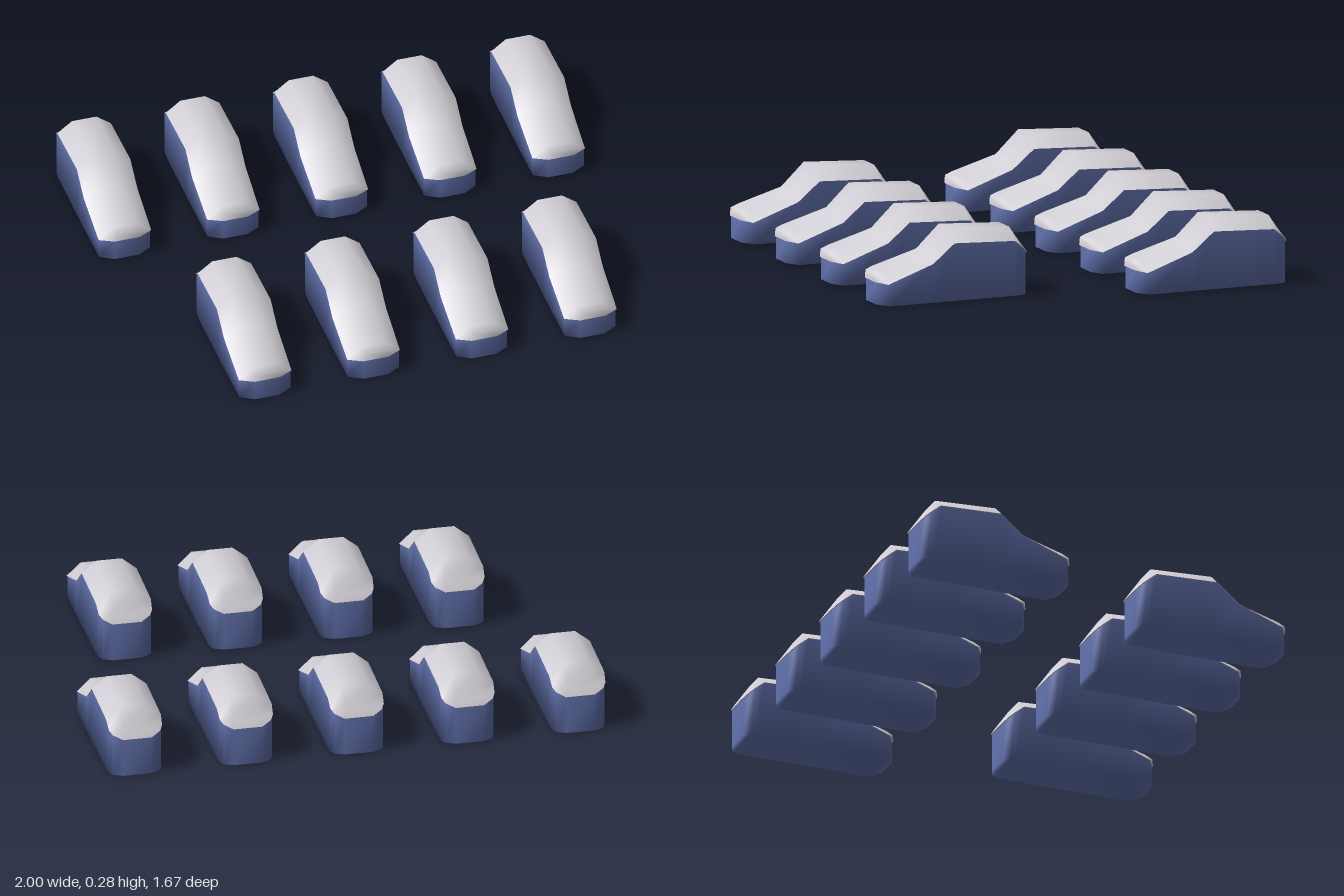
import * as THREE from 'three';

// Car cross-sections from nose to tail: [z, half width, shoulder height, top height, top half width]
const STATIONS = [
  [0.322, 0.052, 0.09, 0.124, 0.045],
  [0.29, 0.108, 0.087, 0.135, 0.05],
  [0.1, 0.11, 0.155, 0.19, 0.05],
  [0.008, 0.11, 0.231, 0.28, 0.05],
  [-0.25, 0.11, 0.22, 0.266, 0.05],
  [-0.287, 0.107, 0.19, 0.212, 0.05],
  [-0.305, 0.095, 0.175, 0.186, 0.05],
  [-0.322, 0.058, 0.158, 0.161, 0.045],
];
const N = STATIONS.length;

// Plan outline at shoulder height: down the left side, back up the right side
function outline(sx, sz) {
  const left = STATIONS.map(([z, w, y]) => [w * sx, y, z * sz]);
  const right = left.map(([x, y, z]) => [-x, y, z]).reverse();
  return [...left, ...right];
}

function toGeometry(points, index) {
  const g = new THREE.BufferGeometry();
  g.setAttribute('position', new THREE.Float32BufferAttribute(points.flat(), 3));
  g.setIndex(index);
  g.computeVertexNormals();
  return g;
}

// Lower body: walls rising to the shoulder line, closed by a flat floor
function bodyGeometry() {
  const top = outline(0.97, 0.985);
  const floor = top.map(([x, , z]) => [x, 0, z]);
  const count = top.length;
  const index = [];
  for (let k = 0; k < count; k++) {
    const n = (k + 1) % count;
    index.push(k, n, count + n, k, count + n, count + k);
  }
  for (let i = 0; i < N - 1; i++) {
    const a = count - 1 - i;
    index.push(i, a, a - 1, i, a - 1, i + 1);
  }
  return toGeometry([...floor, ...top], index);
}

// Upper shell: hood, windscreen, roof and tail slope, with a small overhanging lip
function shellGeometry() {
  const points = [];
  const index = [0, 1, 2, 0, 2, 3];
  for (const [z, w, edge, top, m] of STATIONS) {
    points.push([w, edge, z], [m, top, z], [-m, top, z], [-w, edge, z]);
  }
  for (let i = 0; i < N - 1; i++) {
    for (let j = 0; j < 3; j++) {
      const a = i * 4 + j;
      index.push(a, a + 4, a + 1, a + 1, a + 4, a + 5);
    }
  }
  const t = (N - 1) * 4;
  index.push(t, t + 2, t + 1, t, t + 3, t + 2);

  // Underside of the lip
  const outer = outline(1, 1);
  const inner = outline(0.97, 0.985);
  const count = outer.length;
  const o = points.length;
  points.push(...outer, ...inner);
  for (let k = 0; k < count; k++) {
    const n = (k + 1) % count;
    index.push(o + k, o + count + k, o + count + n, o + k, o + count + n, o + n);
  }
  return toGeometry(points, index);
}

export function createModel() {
  const blue = new THREE.MeshStandardMaterial({ color: 0x6676b4 });
  blue.name = 'body blue';
  const grey = new THREE.MeshStandardMaterial({ color: 0xd2d0d6 });
  grey.name = 'shell grey';

  const body = bodyGeometry();
  const shell = shellGeometry();
  const model = new THREE.Group();
  model.name = 'parkedCars';

  function addCar(x, z) {
    const car = new THREE.Group();
    car.name = 'car';
    const lower = new THREE.Mesh(body, blue);
    lower.name = 'lowerBody';
    const upper = new THREE.Mesh(shell, grey);
    upper.name = 'upperShell';
    car.add(lower, upper);
    car.position.set(x, 0, z);
    model.add(car);
  }

  // Five cars behind, four staggered in front
  for (let i = 0; i < 5; i++) addCar(-0.89 + i * 0.445, -0.513);
  for (let i = 0; i < 4; i++) addCar(-0.633 + i * 0.445, 0.513);
  return model;
}
